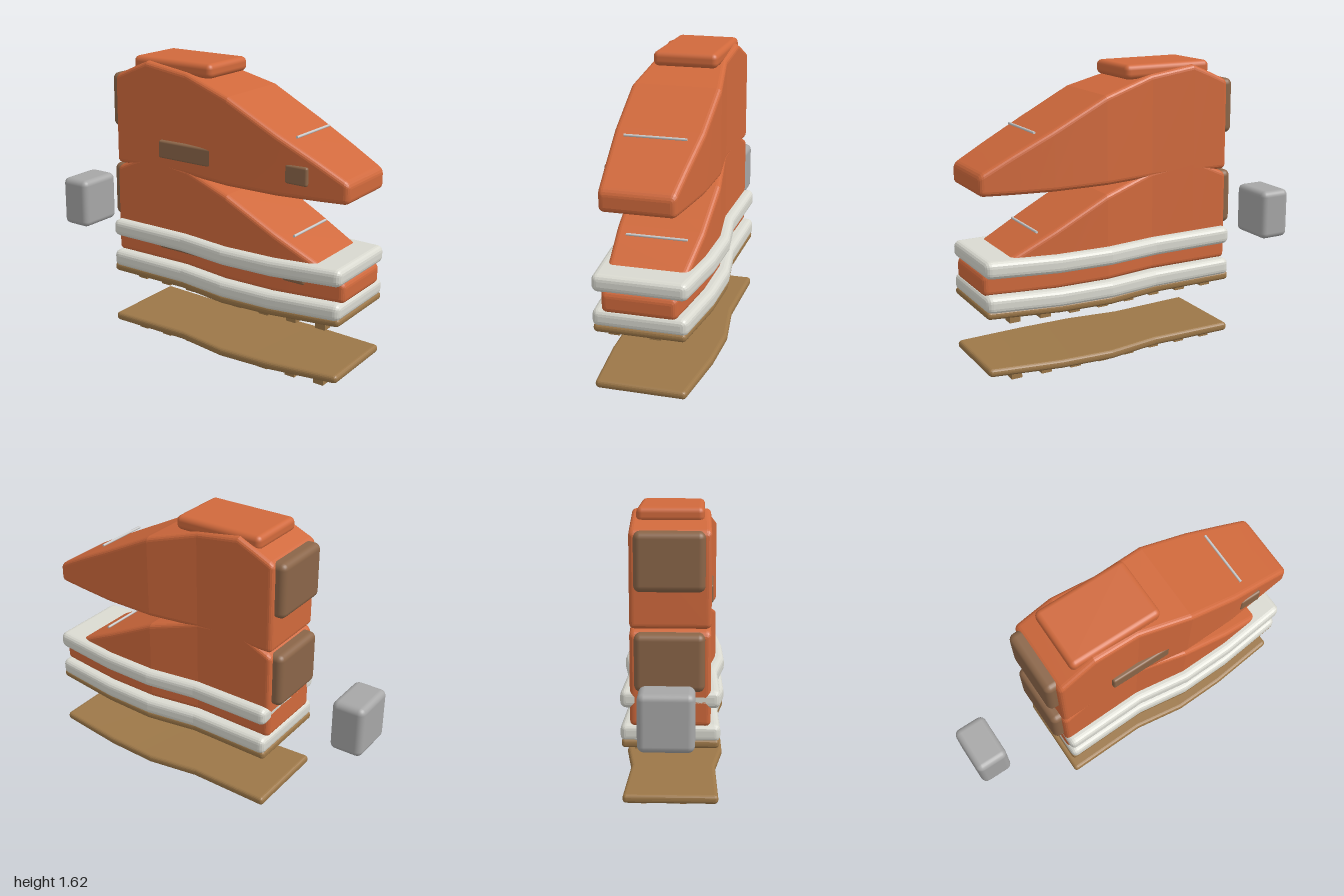
import * as THREE from 'three';
import { toCreasedNormals } from 'three/addons/utils/BufferGeometryUtils.js';
import { RoundedBoxGeometry } from 'three/addons/geometries/RoundedBoxGeometry.js';

const mat = (color) => new THREE.MeshStandardMaterial({ color });
const orange = mat(0xd0693c), tan = mat(0x9c7748), brown = mat(0x8a6548);
const offWhite = mat(0xd9d9d0), grey = mat(0xa6a6a6), silver = mat(0xcccccc);

// Half width of the footprint along x: heel, waist, ball, toe
const PLAN = [[-0.48, 0.215], [0, 0.2], [0.3, 0.243], [0.6, 0.235], [1, 0.193]];

// Piecewise linear lookup; each row starts with x
function sample(rows, x, col = 1) {
  let i = 0;
  while (i < rows.length - 2 && x > rows[i + 1][0]) i++;
  const a = rows[i], b = rows[i + 1];
  return THREE.MathUtils.lerp(a[col], b[col], (x - a[0]) / (b[0] - a[0]));
}

// Rounded body along x. profile rows are [x, bottom, top]; grow widens the footprint; r rounds all edges.
function footBody(profile, grow, r) {
  const steps = 4, x0 = profile[0][0], x1 = profile[profile.length - 1][0];
  const sections = [];
  for (let k = 0; k <= steps; k++) {
    const a = (k / steps) * Math.PI / 2;
    const dx = r * (1 - Math.cos(a)), inset = r * (1 - Math.sin(a));
    sections.push([x0 + dx, inset], [x1 - dx, inset]);
  }
  const inner = [...profile, ...PLAN].map((p) => p[0]).filter((x) => x > x0 + r && x < x1 - r);
  for (const x of new Set(inner)) sections.push([x, 0]);
  sections.sort((a, b) => a[0] - b[0]);

  const pos = [], index = [], n = 4 * (steps + 1);
  for (const [x, inset] of sections) {
    const w = sample(PLAN, x) + grow;
    const lo = sample(profile, x, 1), hi = sample(profile, x, 2);
    const cr = Math.max(r - inset, 0.002);
    const hw = w - inset - cr, hh = (hi - lo) / 2 - inset - cr, mid = (hi + lo) / 2;
    for (let q = 0; q < 4; q++) {
      const sz = q === 0 || q === 3 ? -1 : 1, sy = q < 2 ? 1 : -1;
      for (let k = 0; k <= steps; k++) {
        const a = (q + k / steps) * Math.PI / 2;
        pos.push(x, mid + sy * hh + cr * Math.sin(a), sz * hw - cr * Math.cos(a));
      }
    }
  }
  for (let i = 0; i < sections.length - 1; i++) {
    for (let j = 0; j < n; j++) {
      const a = i * n + j, b = i * n + (j + 1) % n;
      index.push(a, b, a + n, b, b + n, a + n);
    }
  }
  const last = (sections.length - 1) * n;
  for (let j = 1; j < n - 1; j++) {
    index.push(0, j + 1, j);
    index.push(last, last + j, last + j + 1);
  }
  const g = new THREE.BufferGeometry();
  g.setAttribute('position', new THREE.Float32BufferAttribute(pos, 3));
  g.setIndex(index);
  return toCreasedNormals(g, 0.12);
}

function add(parent, name, geometry, material, x = 0, y = 0, z = 0) {
  const m = new THREE.Mesh(geometry, material);
  m.name = name;
  m.position.set(x, y, z);
  parent.add(m);
  return m;
}

// Box given by its minimum and maximum on each axis
function roundedBox(parent, name, material, [xa, xb], [ya, yb], [za, zb], r) {
  const g = new RoundedBoxGeometry(xb - xa, yb - ya, zb - za, 3, r);
  return add(parent, name, g, material, (xa + xb) / 2, (ya + yb) / 2, (za + zb) / 2);
}

function makeUpper() {
  const upper = new THREE.Group();
  upper.name = 'upper';
  const profile = [
    [-0.48, 1.0, 1.505], [-0.36, 1.0, 1.56], [-0.26, 1.0, 1.603], [0, 1.0, 1.565],
    [0.3, 1.0, 1.478], [0.6, 1.0, 1.325], [0.82, 1.005, 1.215], [1, 1.012, 1.12],
  ];
  add(upper, 'upperShell', footBody(profile, 0, 0.027), orange);
  roundedBox(upper, 'collarPad', orange, [-0.377, 0.15], [1.54, 1.62], [-0.18, 0.175], 0.03);
  roundedBox(upper, 'heelCounter', brown, [-0.535, -0.43], [1.2, 1.51], [-0.188, 0.182], 0.035);
  // Panels on one side only
  roundedBox(upper, 'sidePanel', brown, [-0.167, 0.205], [1.08, 1.18], [0.18, 0.226], 0.012);
  roundedBox(upper, 'toePanel', brown, [0.655, 0.785], [1.08, 1.18], [0.19, 0.234], 0.012);
  const bar = new THREE.CylinderGeometry(0.007, 0.007, 0.325, 10).rotateX(Math.PI / 2);
  add(upper, 'laceBar', bar, silver, 0.68, 1.308, 0);
  return upper;
}

function makeOutsole() {
  const outsole = new THREE.Group();
  outsole.name = 'outsole';
  const profile = [[-0.48, 0.033, 0.083], [0.3, 0.03, 0.08], [0.6, 0.037, 0.086], [1, 0.055, 0.1]];
  add(outsole, 'solePlate', footBody(profile, 0.045, 0.02), tan);
  // Staggered tread lugs, spread to suit the footprint
  const lug = new THREE.BoxGeometry(0.06, 0.05, 0.06);
  for (let i = 0; i < 8; i++) {
    for (let j = 0; j < 4; j++) {
      const x = -0.34 + i * 0.17;
      const z = (j - 1.5) * 0.43 * (sample(PLAN, x) + 0.045);
      add(outsole, 'treadLug', lug, tan, x + (j % 2 ? 0.02 : -0.02), 0.025, z);
    }
  }
  return outsole;
}

export function createModel() {
  const model = new THREE.Group();
  model.name = 'explodedShoe';

  // Separated upper and assembled upper
  for (const drop of [0, 0.527]) {
    const upper = makeUpper();
    upper.position.y = -drop;
    model.add(upper);
  }

  // Midsole bands
  const band = footBody(
    [[-0.48, 0.57, 0.668], [0, 0.565, 0.663], [0.6, 0.571, 0.668], [1, 0.588, 0.682]], 0.052, 0.033);
  for (const drop of [0, 0.187]) add(model, 'midsole', band, offWhite, 0, -drop);

  // Assembled outsole and separated outsole
  for (const lift of [0, 0.318]) {
    const outsole = makeOutsole();
    outsole.position.y = lift;
    model.add(outsole);
  }

  // Loose block behind the heel
  roundedBox(model, 'looseBlock', grey, [-1, -0.812], [0.505, 0.8], [-0.143, 0.137], 0.035);
  return model;
}
